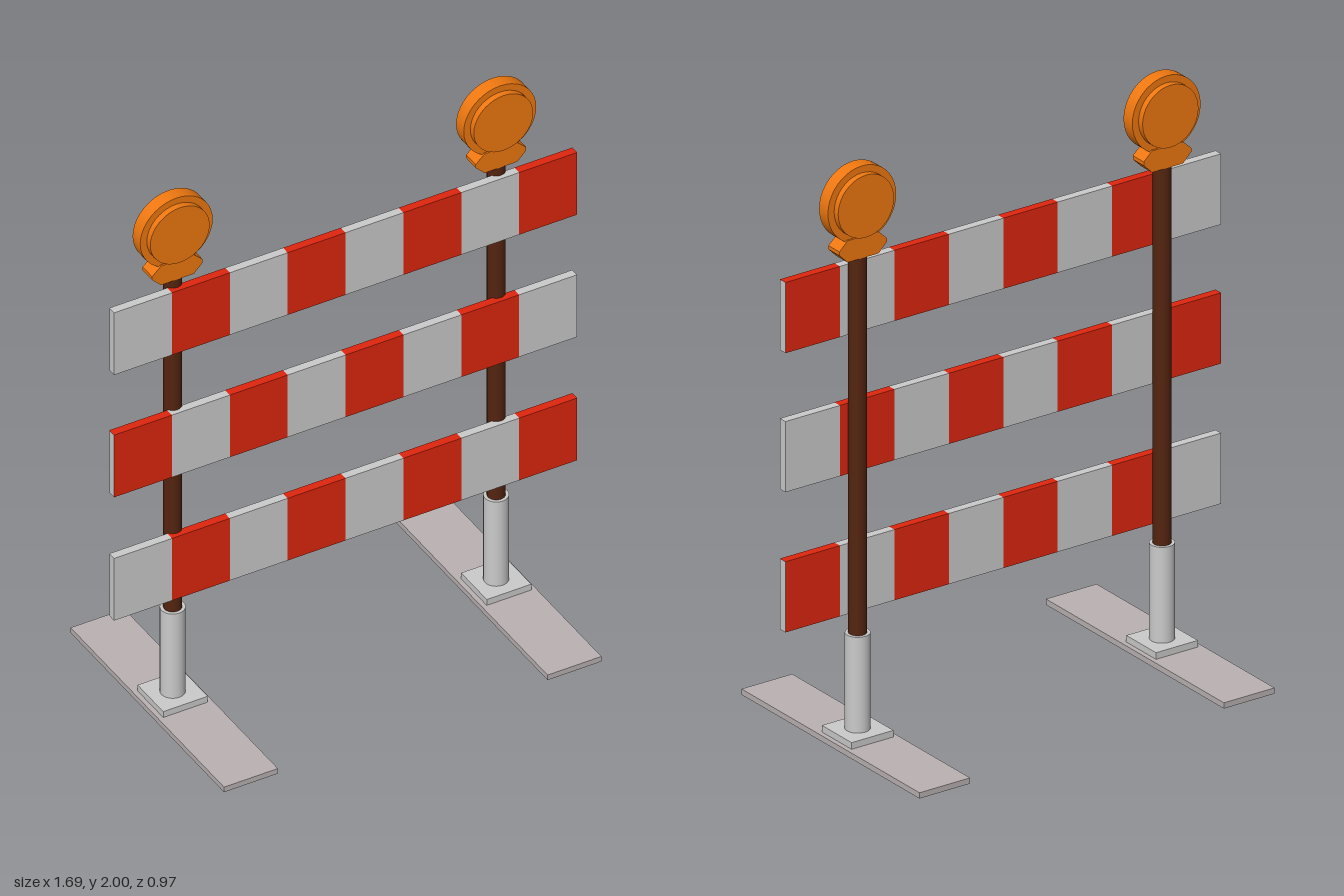
import * as THREE from 'three';

const paint = (color) => new THREE.MeshStandardMaterial({ color });
const grey = paint(0xcccccc);
const footGrey = paint(0xbbb2b2);
const red = paint(0xe0260e);
const orange = paint(0xf0780f);
const brown = paint(0x54240f);

const POST_Z = -0.01;

function add(parent, name, geometry, material, x = 0, y = 0, z = 0) {
  const mesh = new THREE.Mesh(geometry, material);
  mesh.name = name;
  mesh.position.set(x, y, z);
  parent.add(mesh);
  return mesh;
}

// Row of alternating stripes with plain grey ends
function createBoard(y, startsRed) {
  const board = new THREE.Group();
  board.name = 'stripedBoard';
  const count = 8, width = 1.686 / count;
  for (let i = 0; i < count; i++) {
    const isRed = (i % 2 === 0) === startsRed;
    const c = isRed ? red : grey;
    add(board, isRed ? 'redStripe' : 'greyStripe', new THREE.BoxGeometry(width, 0.245, 0.03),
      [grey, grey, c, c, c, c], (i - (count - 1) / 2) * width);
  }
  board.position.set(0, y, 0.021);
  return board;
}

// Round warning lamp on a six-sided bracket
function createLamp() {
  const lamp = new THREE.Group();
  lamp.name = 'warningLamp';
  const disc = (name, radius, depth) =>
    add(lamp, name, new THREE.CylinderGeometry(radius, radius, depth, 40), orange, 0, 1.868, 0).rotation.x = Math.PI / 2;
  disc('lampRim', 0.132, 0.048);
  disc('lampLens', 0.108, 0.092);

  const outline = [[-0.06, 1.683], [0.06, 1.683], [0.092, 1.715], [0.092, 1.728], [0.06, 1.758], [-0.06, 1.758], [-0.092, 1.728], [-0.092, 1.715]];
  const shape = new THREE.Shape(outline.map(([x, y]) => new THREE.Vector2(x, y)));
  const bracket = new THREE.ExtrudeGeometry(shape, { depth: 0.06, bevelEnabled: false });
  add(lamp, 'lampBracket', bracket, orange, 0, 0, -0.03);
  return lamp;
}

// Foot, sleeve, post and lamp
function createUpright(x) {
  const upright = new THREE.Group();
  upright.name = 'upright';
  add(upright, 'foot', new THREE.BoxGeometry(0.196, 0.02, 0.968), footGrey, 0, 0.01, 0);
  add(upright, 'basePlate', new THREE.BoxGeometry(0.162, 0.023, 0.162), grey, 0, 0.0315, POST_Z);
  add(upright, 'sleeve', new THREE.CylinderGeometry(0.041, 0.041, 0.335, 24), grey, 0, 0.2075, POST_Z);
  add(upright, 'post', new THREE.CylinderGeometry(0.03, 0.03, 1.32, 24), brown, 0, 1.03, POST_Z);
  const lamp = createLamp();
  lamp.position.z = POST_Z;
  upright.add(lamp);
  upright.position.x = x;
  return upright;
}

export function createModel() {
  const model = new THREE.Group();
  model.name = 'roadBarricade';
  for (const x of [-0.603, 0.575]) model.add(createUpright(x));
  [0.561, 1.047, 1.529].forEach((y, i) => model.add(createBoard(y, i === 1)));
  return model;
}
